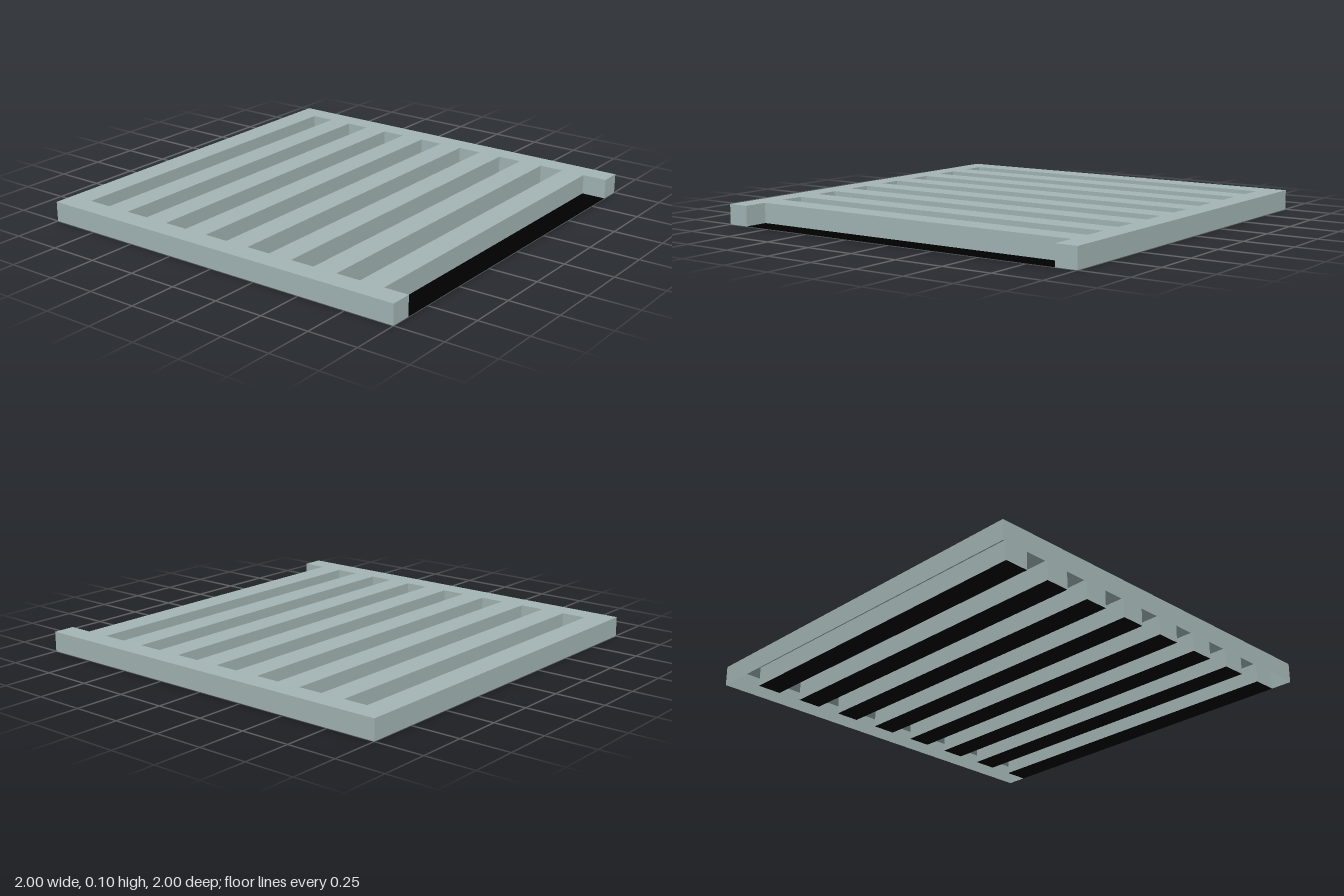
import * as THREE from 'three';
import { mergeGeometries } from 'three/addons/utils/BufferGeometryUtils.js';

const HEIGHT = 0.1;
const SLOT = 0.125;   // slot width, equal to the bar width
const REACH = 0.89;   // half length of a slot

// Upright panels along a closed contour, facing outward for a counter-clockwise one
function wallsAlong(points) {
  return points.map((a, i) => {
    const b = points[(i + 1) % points.length];
    const panel = new THREE.PlaneGeometry(a.distanceTo(b), HEIGHT);
    panel.rotateY(Math.atan2(b.y - a.y, b.x - a.x));
    return panel.translate((a.x + b.x) / 2, HEIGHT / 2, -(a.y + b.y) / 2);
  });
}

const toPoints = (pairs) => pairs.map(([x, y]) => new THREE.Vector2(x, y));

export function createModel() {
  const group = new THREE.Group();
  const metal = new THREE.MeshStandardMaterial({ color: 0xa3b5b5, flatShading: true, side: THREE.DoubleSide });
  const black = new THREE.MeshStandardMaterial({ color: 0x000000, side: THREE.DoubleSide });

  const add = (name, geometry, material) => {
    const mesh = new THREE.Mesh(geometry, material);
    mesh.name = name;
    group.add(mesh);
  };

  // Outline, with the last slot open on the +x side
  const edge = 1 - SLOT;
  const outline = toPoints([
    [-1, -1], [1, -1], [1, -REACH], [edge, -REACH],
    [edge, REACH], [1, REACH], [1, 1], [-1, 1],
  ]);
  const shape = new THREE.Shape(outline);
  const walls = wallsAlong(outline);
  const floors = [];

  // Eight slots, the first seven closed all round
  for (let i = 0; i < 8; i++) {
    const x0 = -1 + SLOT + i * 2 * SLOT;
    const x1 = x0 + SLOT;
    if (i < 7) {
      const hole = toPoints([[x0, -REACH], [x0, REACH], [x1, REACH], [x1, -REACH]]);
      shape.holes.push(new THREE.Path(hole));
      walls.push(...wallsAlong(hole));
    }
    floors.push(new THREE.PlaneGeometry(SLOT, 2 * REACH).rotateX(-Math.PI / 2).translate((x0 + x1) / 2, 0, 0));
  }

  // Slotted top sheet, hollow underneath
  add('grateTop', new THREE.ShapeGeometry(shape).rotateX(-Math.PI / 2).translate(0, HEIGHT, 0), metal);
  // Outer sides and slot sides
  add('grateWalls', mergeGeometries(walls), metal);
  // Dark floor of every slot
  add('slotFloors', mergeGeometries(floors), black);

  return group;
}
